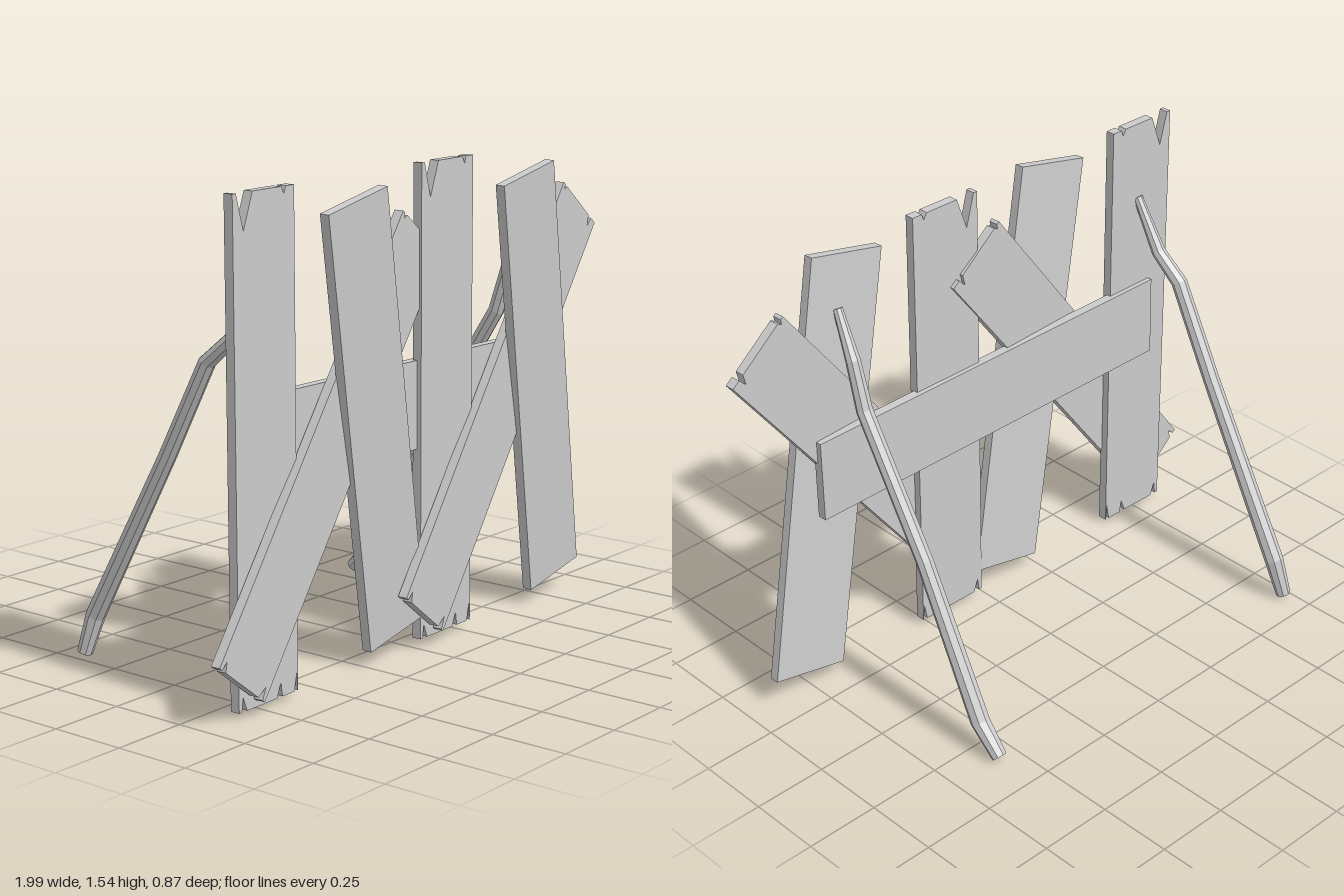
import * as THREE from 'three';

const material = new THREE.MeshStandardMaterial({ color: 0xcccccc, flatShading: true });

// Board outline; notches are [start, end, tip, depth] measured from the left edge
function boardGeometry(w, h, t, topNotches = [], bottomNotches = []) {
  const pts = [[-w / 2, -h / 2]];
  for (const [a, b, tip, d] of bottomNotches) {
    pts.push([a - w / 2, -h / 2], [tip - w / 2, d - h / 2], [b - w / 2, -h / 2]);
  }
  pts.push([w / 2, -h / 2], [w / 2, h / 2]);
  for (const [a, b, tip, d] of [...topNotches].reverse()) {
    pts.push([b - w / 2, h / 2], [tip - w / 2, h / 2 - d], [a - w / 2, h / 2]);
  }
  pts.push([-w / 2, h / 2]);
  const shape = new THREE.Shape(pts.map(([x, y]) => new THREE.Vector2(x, y)));
  const g = new THREE.ExtrudeGeometry(shape, { depth: t, bevelEnabled: false });
  return g.translate(0, 0, -t / 2);
}

// Rough pole: rings of a regular polygon along points [x, y, z, radius], with capped ends
function poleGeometry(path, sides = 8) {
  const centres = path.map(([x, y, z]) => new THREE.Vector3(x, y, z));
  const pos = [], index = [];
  const ring = (i, k) => i * sides + (k % sides);
  centres.forEach((c, i) => {
    const dir = centres[Math.min(i + 1, path.length - 1)].clone()
      .sub(centres[Math.max(i - 1, 0)]).normalize();
    const u = new THREE.Vector3(1, 0, 0).addScaledVector(dir, -dir.x).normalize();
    const v = dir.clone().cross(u);
    for (let k = 0; k < sides; k++) {
      const a = (k / sides) * Math.PI * 2, r = path[i][3];
      const p = c.clone().addScaledVector(u, Math.cos(a) * r).addScaledVector(v, Math.sin(a) * r);
      pos.push(p.x, p.y, p.z);
    }
  });
  const last = path.length - 1;
  for (let i = 0; i < last; i++) {
    for (let k = 0; k < sides; k++) {
      const a = ring(i, k), b = ring(i, k + 1), c = ring(i + 1, k + 1), d = ring(i + 1, k);
      index.push(a, b, c, a, c, d);
    }
  }
  for (let k = 1; k < sides - 1; k++) {
    index.push(ring(0, 0), ring(0, k + 1), ring(0, k));
    index.push(ring(last, 0), ring(last, k), ring(last, k + 1));
  }
  const g = new THREE.BufferGeometry();
  g.setAttribute('position', new THREE.Float32BufferAttribute(pos, 3));
  g.setIndex(index);
  const flat = g.toNonIndexed();
  flat.computeVertexNormals();
  return flat;
}

export function createModel() {
  const group = new THREE.Group();
  const add = (name, geometry, position = [0, 0, 0], rotation = [0, 0, 0]) => {
    const mesh = new THREE.Mesh(geometry, material);
    mesh.name = name;
    mesh.position.set(...position);
    mesh.rotation.set(...rotation);
    group.add(mesh);
  };

  // Three kinds of board, with split ends on the upright and diagonal ones
  const upright = boardGeometry(0.267, 1.515, 0.032,
    [[0.015, 0.085, 0.045, 0.11], [0.21, 0.23, 0.222, 0.022]],
    [[0.012, 0.035, 0.018, 0.045], [0.17, 0.195, 0.188, 0.045], [0.25, 0.265, 0.262, 0.06]]);
  const diagonal = boardGeometry(0.262, 1.512, 0.032,
    [[0.012, 0.028, 0.02, 0.015], [0.21, 0.23, 0.225, 0.035]],
    [[0.015, 0.035, 0.02, 0.03], [0.225, 0.25, 0.24, 0.04]]);
  const leaning = boardGeometry(0.277, 1.432, 0.033);

  // The same trio of boards stands twice along the fence
  ['right', 'left'].forEach((side, i) => {
    const dx = i * 0.873;
    add(side + 'UprightBoard', upright, [-0.732 + dx, 0.78 + i * 0.01, 0.341], [0, 0, 0.008]);
    add(side + 'DiagonalBoard', diagonal, [-0.438 + dx, 0.728 + i * 0.004, 0.358], [0, 0.056, -0.648]);
    add(side + 'LeaningBoard', leaning, [-0.254 + dx, 0.78, 0.379], [0.054, 0, 0.211]);
  });

  // Rail across the back
  add('backRail', boardGeometry(1.47, 0.283, 0.032), [-0.05, 0.791, 0.325], [0, 0, -0.008]);

  // Two crooked props behind, from the top down to the foot
  add('rightProp', poleGeometry([
    [-0.73, 1.265, 0.33, 0.016], [-0.732, 1.095, 0.23, 0.024], [-0.735, 1.015, 0.135, 0.027],
    [-0.725, 0.71, -0.035, 0.028], [-0.705, 0.145, -0.37, 0.032], [-0.718, 0.018, -0.408, 0.025]]));
  add('leftProp', poleGeometry([
    [0.525, 1.31, 0.39, 0.016], [0.54, 1.165, 0.31, 0.024], [0.545, 1.01, 0.26, 0.027],
    [0.555, 0.585, -0.01, 0.028], [0.572, 0.11, -0.27, 0.032], [0.575, 0.022, -0.36, 0.025]]));

  return group;
}
